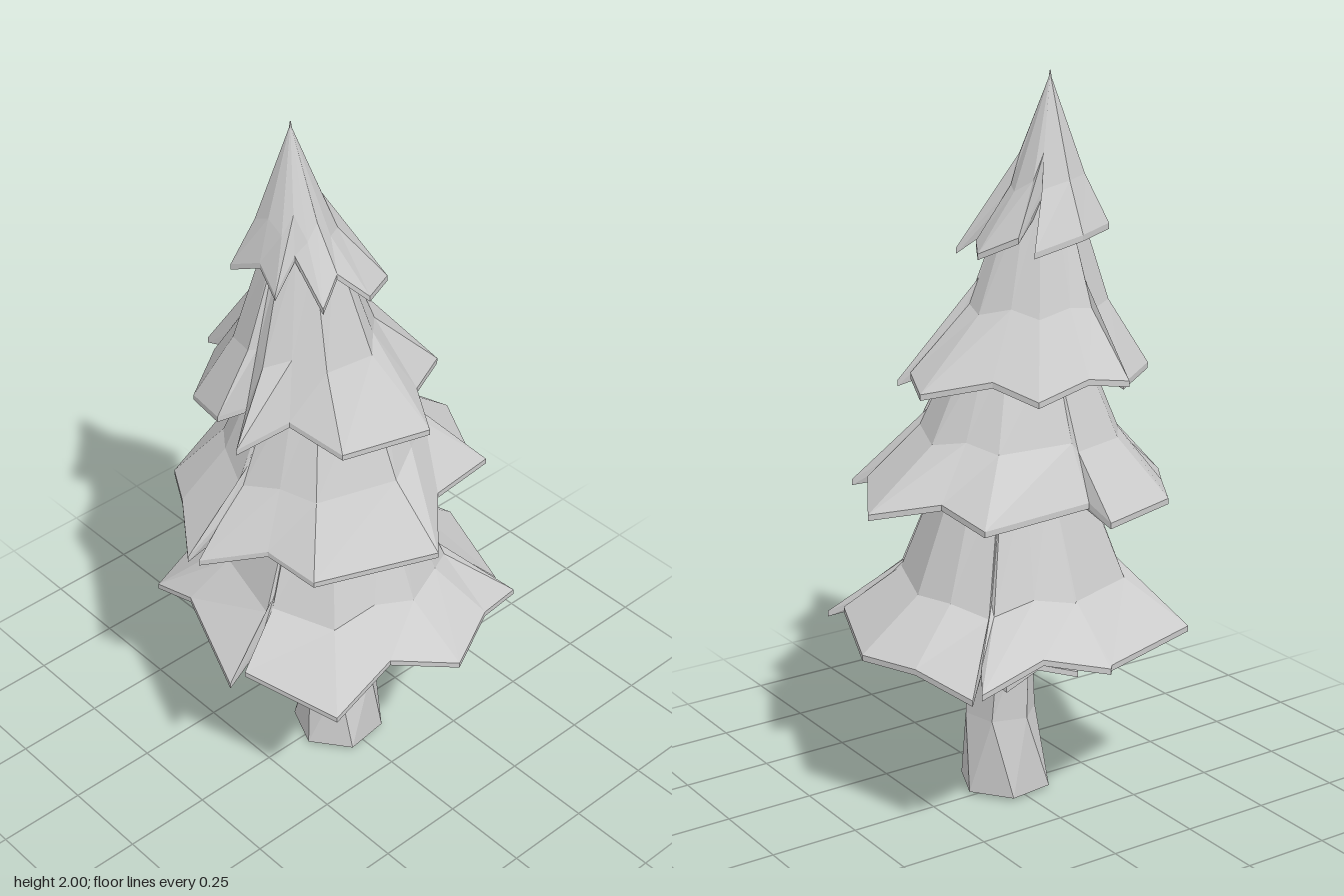
import * as THREE from 'three';

const grey = new THREE.MeshStandardMaterial({ color: 0xcccccc, flatShading: true });
grey.name = 'pale grey';

// Joins a stack of closed rings (clockwise seen from above) into a faceted surface.
function skin(name, rings) {
  const pos = [];
  const tri = (a, b, c) => pos.push(...a, ...b, ...c);
  const n = rings[0].length;
  for (let r = 0; r + 1 < rings.length; r++) {
    const lo = rings[r], up = rings[r + 1];
    for (let i = 0; i < n; i++) {
      const j = (i + 1) % n;
      tri(lo[j], lo[i], up[i]);
      tri(lo[j], up[i], up[j]);
    }
  }
  const geo = new THREE.BufferGeometry();
  geo.setAttribute('position', new THREE.Float32BufferAttribute(pos, 3));
  geo.computeVertexNormals();
  const mesh = new THREE.Mesh(geo, grey);
  mesh.name = name;
  return mesh;
}

// One skirt of branches. Rim points are [x, z, lift]; tips beyond `reach` hang lowest,
// nearer points sit higher by `droop`, and splits between branches are lifted further.
// The crease above the rim is rounder than the rim, so the splits fade out there.
function tier(name, { centre, tipY, reach, droop, tilt = 0, topY, topR, crease, inner, innerY }, rim) {
  const [cx, cz] = centre;
  const [along, up] = crease;
  const ring = (radius, height) => rim.map(([x, z, lift = 0]) => {
    const dx = x - cx, dz = z - cz, d = Math.hypot(dx, dz), r = radius(d);
    const y = tipY + droop * (reach - d) + tilt * x + lift;
    return [cx + dx / d * r, height(y), cz + dz / d * r];
  });
  return skin(name, [
    ring(() => inner, () => innerY),
    ring(d => d, y => y),
    ring(d => d, y => y + 0.016),
    ring(d => topR + ((d + reach * 0.85) / 2 - topR) * along, y => y + (topY - y) * up),
    ring(() => topR, () => topY),
    ring(() => 0.001, () => topY + 0.02),
  ]);
}

// Evenly spaced ring of radius r; odd corners are drawn in by the factor `pinch`.
const star = (n, r, turn, pinch = 1) => Array.from({ length: n }, (_, i) => {
  const a = turn + i * 2 * Math.PI / n, k = i % 2 ? r * pinch : r;
  return [Math.cos(a) * k, Math.sin(a) * k];
});

export function createModel() {
  const tree = new THREE.Group();
  tree.name = 'tree';

  // Six-sided trunk, slightly twisted and flared at the foot
  const trunkRing = (y, r, turn, cx, cz) => star(6, r, turn).map(([x, z]) => [x + cx, y, z + cz]);
  tree.add(skin('trunk', [
    trunkRing(0, 0.001, -0.12, 0, 0.02),
    trunkRing(0.01, 0.13, -0.12, 0, 0.02),
    trunkRing(0.23, 0.1, 0.3, 0.015, 0.02),
    trunkRing(0.52, 0.092, 0.1, 0.015, 0.015),
  ]));

  // Small collar hiding the top of the trunk
  tree.add(tier('collarBranches', {
    centre: [0, 0], tipY: 0.375, reach: 0.22, droop: 0.6,
    topY: 0.66, topR: 0.11, crease: [0.45, 0.33], inner: 0.07, innerY: 0.47,
  }, star(12, 0.22, 0.1, 0.75)));

  tree.add(tier('lowestBranches', {
    centre: [-0.01, 0], tipY: 0.495, reach: 0.48, droop: 0.5,
    topY: 0.96, topR: 0.18, crease: [0.48, 0.31], inner: 0.08, innerY: 0.62,
  }, [
    [0, -0.47], [0.15, -0.38], [0.34, -0.38], [0.295, -0.31], [0.367, -0.378], [0.42, -0.19],
    [0.475, -0.015], [0.355, 0.287], [0.29, 0.248], [0.376, 0.34], [0.22, 0.38], [0.033, 0.47],
    [-0.13, 0.37], [-0.34, 0.39], [-0.43, 0.123], [-0.34, 0.088], [-0.475, 0.115],
    [-0.36, -0.19], [-0.36, -0.335], [-0.01, -0.46],
  ]));

  tree.add(tier('lowerMiddleBranches', {
    centre: [-0.03, -0.01], tipY: 0.865, reach: 0.46, droop: 0.4, tilt: 0.06,
    topY: 1.3, topR: 0.16, crease: [0.45, 0.4], inner: 0.14, innerY: 0.94,
  }, [
    [-0.29, -0.325], [-0.025, -0.427], [-0.015, -0.345], [0.29, -0.32], [0.314, -0.157],
    [0.457, -0.027], [0.33, 0.187], [0.225, 0.13, 0.04], [0.355, 0.228], [0.12, 0.28],
    [-0.01, 0.417], [-0.3, 0.256, -0.04], [-0.33, 0.11, -0.03], [-0.457, -0.02, -0.02],
    [-0.38, -0.022, 0.03], [-0.477, -0.04], [-0.36, -0.205],
  ]));

  tree.add(tier('upperMiddleBranches', {
    centre: [-0.08, -0.03], tipY: 1.19, reach: 0.33, droop: 0.4,
    topY: 1.68, topR: 0.09, crease: [0.46, 0.4], inner: 0.1, innerY: 1.27,
  }, [
    [-0.317, -0.19], [-0.143, -0.315], [-0.114, -0.2, 0.1], [-0.135, -0.35, 0.03], [-0.03, -0.318, 0.03],
    [0.11, -0.297], [0.17, -0.177, 0.02], [0.31, -0.052, 0.02], [0.263, 0.07, 0.03], [0.143, 0.035, 0.1],
    [0.288, 0.095, 0.02], [0.117, 0.193, 0.02], [0.06, 0.302], [-0.186, 0.24, -0.02],
    [-0.24, 0.1], [-0.38, 0.055], [-0.28, -0.02], [-0.36, -0.04, 0.03],
  ]));

  tree.add(tier('crownBranches', {
    centre: [-0.09, -0.055], tipY: 1.55, reach: 0.2, droop: 0.5, tilt: -0.07,
    topY: 1.98, topR: 0.004, crease: [0.55, 0.37], inner: 0.06, innerY: 1.65,
  }, [
    [-0.217, -0.144], [-0.09, -0.205], [0.05, -0.19], [-0.03, -0.11, 0.08], [0.07, -0.147, 0.03],
    [0.13, -0.05], [0.087, 0.024], [0, -0.005, 0.08], [0.11, 0.083], [-0.01, 0.147],
    [-0.087, 0.11, 0.05], [-0.155, 0.134], [-0.155, 0.03, 0.06], [-0.225, 0.035], [-0.2, -0.05, 0.02],
  ]));

  return tree;
}
